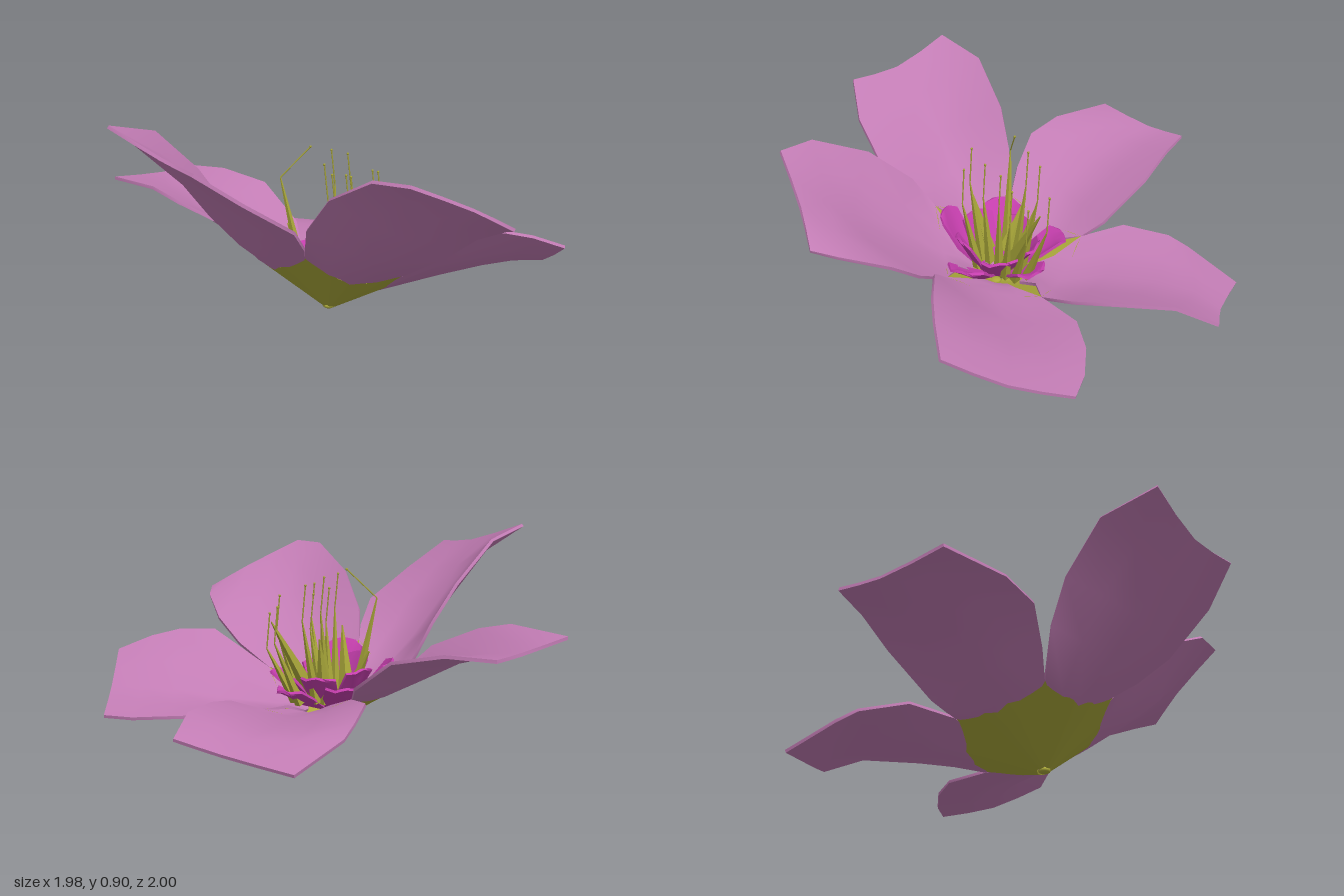
import * as THREE from 'three';
import { toCreasedNormals } from 'three/addons/utils/BufferGeometryUtils.js';

const V = (p) => new THREE.Vector3(...p);
const mat = (color) => new THREE.MeshStandardMaterial({ color, side: THREE.DoubleSide });
const PINK = mat(0xc27cb4), MAGENTA = mat(0xc63fae), OLIVE = mat(0xaaa83a);
const CENTRE = [-0.03, 0, 0.1];

// Thin closed shell through rows of points; each row runs across, rows run outward
function shell(rows, nu, nv, thick) {
  const across = rows.map((r) => new THREE.CatmullRomCurve3(r.map(V)));
  const w = nu + 1, top = [], idx = [];
  const columns = [];
  for (let i = 0; i <= nu; i++) {
    columns.push(new THREE.CatmullRomCurve3(across.map((c) => c.getPoint(i / nu))));
  }
  for (let j = 0; j <= nv; j++) {
    for (let i = 0; i <= nu; i++) top.push(columns[i].getPoint(j / nv));
  }
  for (let j = 0; j < nv; j++) {
    for (let i = 0; i < nu; i++) {
      const a = j * w + i;
      idx.push(a, a + w, a + 1, a + 1, a + w, a + w + 1);
    }
  }
  const sheet = new THREE.BufferGeometry().setFromPoints(top);
  sheet.setIndex(idx);
  sheet.computeVertexNormals();
  const nrm = sheet.attributes.normal, n = top.length;
  const under = top.map((p, k) =>
    p.clone().addScaledVector(new THREE.Vector3().fromBufferAttribute(nrm, k), -thick));
  const all = [...idx];
  for (let k = 0; k < idx.length; k += 3) all.push(idx[k] + n, idx[k + 2] + n, idx[k + 1] + n);
  // edge strip round the outline
  const loop = [];
  for (let i = 0; i < nu; i++) loop.push(i);
  for (let j = 0; j < nv; j++) loop.push(j * w + nu);
  for (let i = nu; i > 0; i--) loop.push(nv * w + i);
  for (let j = nv; j > 0; j--) loop.push(j * w);
  loop.forEach((a, k) => {
    const b = loop[(k + 1) % loop.length];
    all.push(a, b, a + n, b, b + n, a + n);
  });
  const geo = new THREE.BufferGeometry().setFromPoints([...top, ...under]);
  geo.setIndex(all);
  return toCreasedNormals(geo, 0.8);
}

function add(parent, name, geo, material) {
  const mesh = new THREE.Mesh(geo, material);
  mesh.name = name;
  parent.add(mesh);
  return mesh;
}

// Large petals: rows of edge, middle, edge from the cup rim to the tip
const PETALS = {
  frontPetal: [
    [[-.16, .34, .38], [.04, .2, .33], [.27, .22, .3]],
    [[-.16, .48, .48], [.1, .36, .52], [.42, .32, .4]],
    [[-.09, .65, .66], [.2, .5, .7], [.53, .43, .5]],
    [[.04, .77, .88], [.3, .6, .78], [.6, .52, .7]],
    [[.16, .775, .99], [.42, .65, .87], [.6, .55, .81]]],
  leftPetal: [
    [[.27, .22, .3], [.2, .09, .1], [.26, .11, -.11]],
    [[.53, .4, .33], [.48, .13, .04], [.46, .12, -.255]],
    [[.7, .4, .325], [.68, .165, .03], [.65, .12, -.285]],
    [[.83, .37, .31], [.83, .18, .02], [.82, .11, -.27]],
    [[.985, .31, .28], [.97, .18, .03], [.95, .11, -.23]]],
  backLeftPetal: [
    [[.26, .11, -.11], [.1, .1, -.2], [-.12, .2, -.3]],
    [[.4, .18, -.24], [.14, .14, -.4], [-.175, .23, -.5]],
    [[.46, .21, -.4], [.2, .15, -.62], [-.13, .2, -.71]],
    [[.52, .23, -.66], [.28, .15, -.78], [-.09, .16, -.8]],
    [[.55, .17, -.84], [.365, .12, -.88], [.09, .08, -1]]],
  backRightPetal: [
    [[-.12, .2, -.3], [-.26, .19, -.15], [-.38, .28, .03]],
    [[-.13, .27, -.4], [-.42, .28, -.22], [-.48, .38, 0]],
    [[-.27, .42, -.6], [-.56, .38, -.36], [-.68, .47, -.07]],
    [[-.47, .47, -.72], [-.68, .44, -.52], [-.8, .51, -.2]],
    [[-.655, .47, -.82], [-.77, .47, -.67], [-.99, .5, -.46]]],
  frontRightPetal: [
    [[-.38, .28, .03], [-.28, .24, .2], [-.16, .34, .38]],
    [[-.48, .48, .04], [-.42, .38, .3], [-.17, .4, .48]],
    [[-.59, .65, .08], [-.54, .53, .38], [-.22, .51, .62]],
    [[-.76, .84, .19], [-.64, .69, .49], [-.42, .66, .745]],
    [[-.93, .9, .38], [-.72, .81, .59], [-.6, .79, .79]]],
};

// Small inner petals: angle in degrees, reach, tip height, half width
const INNER = [
  [-103, .32, .23, .085], [-42, .28, .19, .08], [-173, .28, .31, .085],
  [105, .24, .36, .09], [28, .3, .23, .09],
  [-138, .19, .28, .085], [-72, .2, .25, .08], [-8, .2, .23, .08],
  [66, .17, .28, .08], [145, .16, .32, .08],
];

// Stamen tips
const STAMENS = [
  [-.06, .68, .2], [-.02, .62, .14], [.05, .6, .07], [0, .69, -.05], [.08, .66, -.1],
  [.2, .57, -.14], [.24, .53, -.05], [.2, .6, .02], [.05, .63, .23],
];

// Point part-way down the cup wall below a rim point
const cupPoint = (p, f, lift) => [
  CENTRE[0] + (p[0] - CENTRE[0]) * f, p[1] * f + lift, CENTRE[2] + (p[2] - CENTRE[2]) * f];

// Narrow foot of a petal, lying on the inside of the cup
function foot(rim, f) {
  const mid = rim[1];
  return rim.map((p) => cupPoint(p.map((v, k) => v + (mid[k] - v) * .4), f, .025));
}

// Blunt paddle, slightly cupped
function innerPetal([deg, reach, tipY, hw]) {
  const a = THREE.MathUtils.degToRad(deg), c = Math.cos(a), s = Math.sin(a);
  const row = (r, y, h, lift) => [-1, 0, 1].map((k) => [
    CENTRE[0] + c * r + s * h * k, y + (k ? lift : 0), CENTRE[2] + s * r - c * h * k]);
  return shell([
    row(.05, .08, .025, .005), row(reach * .6, .08 + (tipY - .08) * .35, hw * .9, .035),
    row(reach * .87, .08 + (tipY - .08) * .78, hw, .03), row(reach, tipY, hw * .6, -.01),
  ], 4, 3, .012);
}

// Tapered four-sided blade between two points
function blade(from, to, r) {
  const a = V(from), b = V(to), d = b.clone().sub(a);
  const geo = new THREE.CylinderGeometry(.003, r, d.length(), 4).toNonIndexed();
  geo.applyQuaternion(new THREE.Quaternion().setFromUnitVectors(new THREE.Vector3(0, 1, 0), d.normalize()));
  geo.translate(...a.add(b).multiplyScalar(.5).toArray());
  geo.computeVertexNormals();
  return geo;
}

function stamen(parent, [base, bend, tip]) {
  const g = new THREE.Group();
  g.name = 'stamen';
  add(g, 'stamenBlade', blade(base, bend, .024), OLIVE);
  add(g, 'filament', new THREE.TubeGeometry(new THREE.LineCurve3(V(bend), V(tip)), 1, .003, 4), OLIVE);
  add(g, 'anther', new THREE.SphereGeometry(.006, 6, 4), OLIVE).position.set(...tip);
  parent.add(g);
}

export function createModel() {
  const flower = new THREE.Group();
  flower.name = 'flower';

  // petals, each with a foot running down into the cup
  for (const [name, rows] of Object.entries(PETALS)) {
    add(flower, name, shell([foot(rows[0], .45), foot(rows[0], .75), ...rows], 4, 6, .014), PINK);
  }

  // cup: one wall from the apex to the rim that joins all petals
  const rim = Object.values(PETALS).flatMap((rows) =>
    new THREE.CatmullRomCurve3(rows[0].map(V)).getPoints(8).slice(0, 8).map((p) => p.toArray()));
  rim.push(rim[0]);
  const wall = [.08, .5, 1].map((f) => rim.map((p) => cupPoint(p, f, .006 * (1 - f))));
  add(flower, 'cup', shell(wall, 40, 4, .01), OLIVE);
  add(flower, 'cupBase', new THREE.SphereGeometry(.028, 12, 6).scale(1, .5, 1), OLIVE)
    .position.set(CENTRE[0], .014, CENTRE[2]);

  // inner petals round a small dome
  for (const spec of INNER) add(flower, 'innerPetal', innerPetal(spec), MAGENTA);
  add(flower, 'centreDome', new THREE.SphereGeometry(.06, 12, 8).scale(1, .6, 1), PINK)
    .position.set(CENTRE[0], .09, CENTRE[2]);

  // stamens
  for (const t of STAMENS) {
    const base = [CENTRE[0] + (t[0] - CENTRE[0]) * .6, .12, CENTRE[2] + (t[2] - CENTRE[2]) * .6];
    stamen(flower, [base, [t[0] + .015, t[1] - .16, t[2] + .01], t]);
  }
  stamen(flower, [[-.14, .15, .05], [-.235, .59, .03], [-.1, .72, .01]]);

  // broad leaning blades in the middle
  for (const [from, to] of [
    [[.06, .15, .04], [.23, .5, -.1]], [[-.1, .15, .14], [-.08, .44, .2]],
    [[0, .12, 0], [.02, .42, -.08]], [[-.1, .13, .05], [-.2, .36, -.04]],
  ]) add(flower, 'centreBlade', blade(from, to, .038), OLIVE);

  return flower;
}
